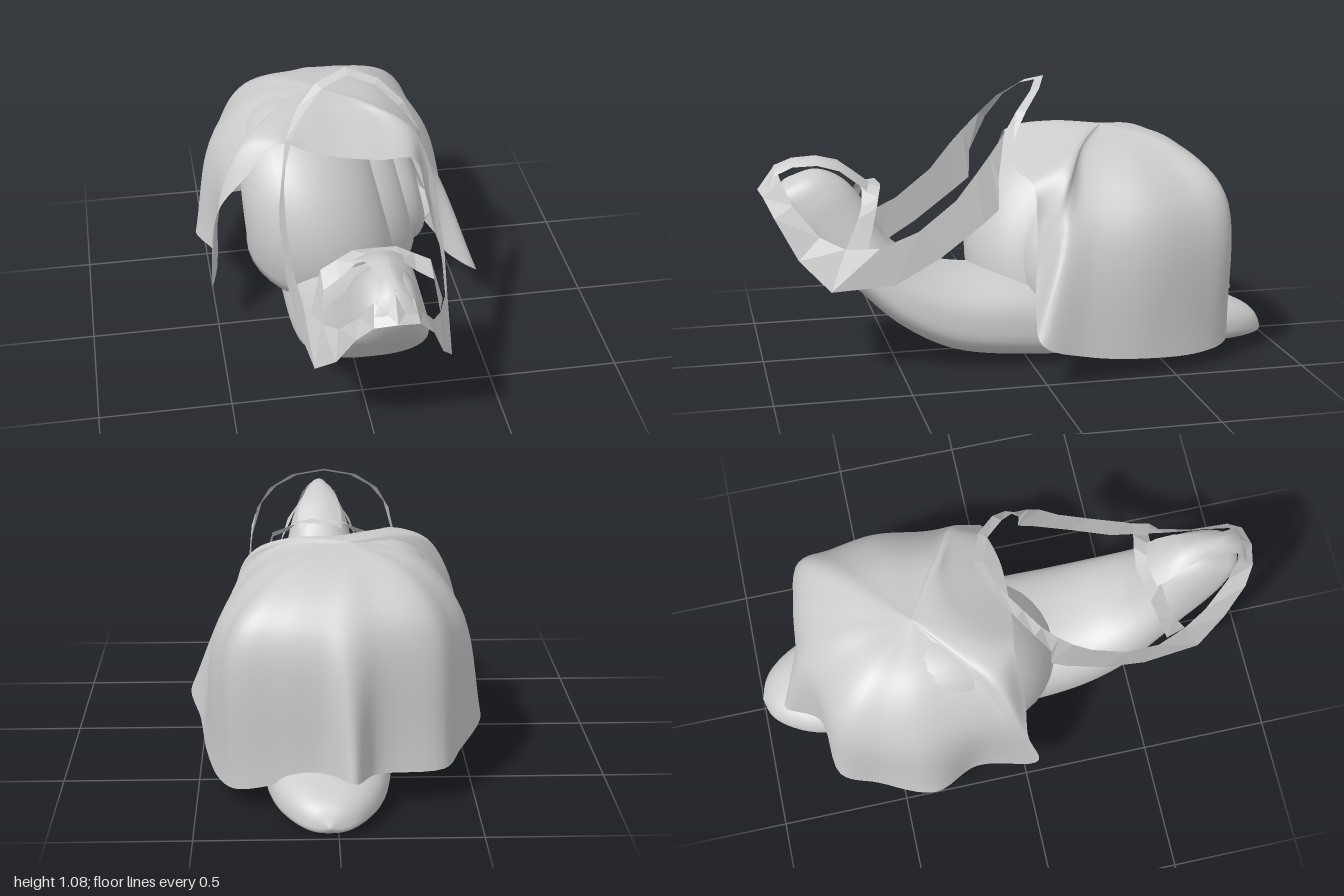
import * as THREE from 'three';

const CX = 0.03; // centre line of body and harness
const V = (x, y, z) => new THREE.Vector3(x, y, z);
const smooth = new THREE.MeshStandardMaterial({ color: 0xcccccc });
const cloth = new THREE.MeshStandardMaterial({ color: 0xcccccc, side: THREE.DoubleSide });
const strap = new THREE.MeshStandardMaterial({ color: 0xcccccc, side: THREE.DoubleSide, flatShading: true });

// Surface through rows of points; wrap closes each row into a ring
function loft(name, rows, wrap, material) {
  const n = rows[0].length;
  const index = [];
  for (let i = 0; i < rows.length - 1; i++) {
    for (let j = 0; j < (wrap ? n : n - 1); j++) {
      const k = (j + 1) % n;
      const a = i * n + j, b = i * n + k, c = a + n, d = b + n;
      index.push(a, b, c, b, d, c);
    }
  }
  const geometry = new THREE.BufferGeometry().setFromPoints(rows.flat());
  geometry.setIndex(index);
  geometry.computeVertexNormals();
  const mesh = new THREE.Mesh(geometry, material);
  mesh.name = name;
  return mesh;
}

// Body: rings between a back line and a sole line
function makeBody() {
  // half width, back z, back y, sole z, sole y
  const stations = [
    [0, -1, 0.04, -1, 0.035], [0.08, -0.96, 0.1, -0.98, 0.012], [0.14, -0.9, 0.135, -0.92, 0.006],
    [0.2, -0.77, 0.18, -0.8, 0.004], [0.25, -0.4, 0.28, -0.4, 0.001], [0.265, 0, 0.34, 0, 0.005],
    [0.255, 0.25, 0.35, 0.3, 0.05], [0.23, 0.4, 0.39, 0.5, 0.16], [0.195, 0.5, 0.46, 0.64, 0.29],
    [0.165, 0.56, 0.54, 0.74, 0.39], [0.14, 0.61, 0.63, 0.84, 0.48], [0.115, 0.68, 0.71, 0.91, 0.58],
    [0.08, 0.77, 0.75, 0.94, 0.66], [0, 0.88, 0.73, 0.9, 0.72],
  ];
  const back = new THREE.CatmullRomCurve3(stations.map((s) => V(s[0], s[2], s[1])));
  const sole = new THREE.CatmullRomCurve3(stations.map((s) => V(s[0], s[4], s[3])));
  const power = (v, e) => Math.sign(v) * Math.abs(v) ** e;
  const rows = [];
  for (let i = 0; i <= 78; i++) {
    const top = back.getPoint(i / 78), bottom = sole.getPoint(i / 78);
    const row = [];
    for (let j = 0; j < 40; j++) {
      const a = (j / 40) * Math.PI * 2;
      const s = power(Math.sin(a), 0.8);
      const p = bottom.clone().lerp(top, 0.36 + s * (s > 0 ? 0.64 : 0.36));
      p.x = CX + Math.max(bottom.x, 0) * power(Math.cos(a), 0.8);
      row.push(p);
    }
    rows.push(row);
  }
  return loft('body', rows, true, smooth);
}

// Shell: a shrinking coil that climbs towards +x and leans towards -x
function makeShell() {
  const rows = [];
  const turns = 3, steps = 150;
  for (let i = 0; i <= steps; i++) {
    const t = (i / steps) * turns;
    const k = 0.68 ** t;
    const a = t * Math.PI * 2 - 0.6;
    const r = i === 0 || i === steps ? 0 : 0.265 * k;
    const row = [];
    for (let j = 0; j < 32; j++) {
      const f = (j / 32) * Math.PI * 2;
      const d = 0.245 * k + r * Math.cos(f);
      const y = 0.4 + d * Math.sin(a);
      row.push(V(-0.12 + 0.6 * (1 - k) + 1.12 * r * Math.sin(f) - 0.3 * (y - 0.45), y, -0.3 + d * Math.cos(a)));
    }
    rows.push(row);
  }
  return loft('shell', rows, true, smooth);
}

// Blanket: meridians from the crown over a shoulder to the hem
function makeBlanket() {
  // shoulder x, y, z, then hem x, y, z, round from the front centre by way of +x
  const folds = [
    [0, 0.825, -0.15, 0, 0.755, 0.03], [0.15, 0.81, -0.15, 0.15, 0.73, 0.03],
    [0.27, 0.785, -0.12, 0.29, 0.7, 0], [0.33, 0.73, -0.12, 0.34, 0.52, 0],
    [0.35, 0.67, -0.12, 0.41, 0.28, 0.02], [0.375, 0.61, -0.14, 0.55, 0.17, 0.03],
    [0.395, 0.58, -0.22, 0.51, 0.1, -0.15], [0.425, 0.58, -0.42, 0.475, 0.065, -0.4],
    [0.39, 0.6, -0.6, 0.42, 0.055, -0.62], [0.35, 0.64, -0.72, 0.35, 0.07, -0.74],
    [0.2, 0.65, -0.755, 0.18, 0.12, -0.8], [0.05, 0.64, -0.77, 0.03, 0.16, -0.83],
    [-0.04, 0.64, -0.775, -0.06, 0.16, -0.91], [-0.14, 0.65, -0.74, -0.14, 0.14, -0.78],
    [-0.34, 0.66, -0.68, -0.38, 0.14, -0.74], [-0.42, 0.62, -0.55, -0.45, 0.15, -0.6],
    [-0.465, 0.62, -0.4, -0.55, 0.2, -0.38], [-0.445, 0.62, -0.2, -0.48, 0.2, -0.2],
    [-0.44, 0.62, -0.08, -0.52, 0.21, 0.03], [-0.43, 0.69, -0.06, -0.485, 0.53, 0],
    [-0.37, 0.79, -0.07, -0.38, 0.68, 0.01], [-0.26, 0.835, -0.06, -0.24, 0.82, 0],
    [-0.12, 0.84, -0.12, -0.12, 0.785, 0.02],
  ];
  const shoulder = new THREE.CatmullRomCurve3(folds.map((f) => V(f[0], f[1], f[2])), true);
  const hem = new THREE.CatmullRomCurve3(folds.map((f) => V(f[3], f[4], f[5])), true);
  const crown = V(-0.06, 0.866, -0.35);
  const columns = [];
  for (let i = 0; i < 138; i++) {
    const s = shoulder.getPoint(i / 138), h = hem.getPoint(i / 138);
    const mid = crown.clone().lerp(s, 0.6);
    mid.y = crown.y - (crown.y - s.y) * 0.25;
    columns.push(new THREE.CatmullRomCurve3([crown, mid, s, h]).getPoints(30));
  }
  const rows = columns[0].map((_, j) => columns.map((c) => c[j]));
  return loft('blanket', rows, true, cloth);
}

// Harness: flat straps, each row giving x, z, y of the upper edge, then z, y, x of the lower
function makeStrap(name, side, rows) {
  const points = rows.map(([x, zt, yt, zb, yb, xb = x]) => [V(CX + side * x, yt, zt), V(CX + side * xb, yb, zb)]);
  return loft(name, points, false, strap);
}

function makeHarness() {
  const harness = new THREE.Group();
  harness.name = 'harness';
  const rein = [
    [0, 0.93, 0.78, 1, 0.685], [0.07, 0.92, 0.73, 0.985, 0.67, 0.08], [0.11, 0.88, 0.64, 0.95, 0.6, 0.135],
    [0.17, 0.79, 0.53, 0.87, 0.45, 0.19], [0.215, 0.7, 0.49, 0.76, 0.34, 0.25], [0.265, 0.58, 0.5, 0.53, 0.36, 0.28],
    [0.285, 0.44, 0.56, 0.36, 0.46, 0.297], [0.285, 0.3, 0.67, 0.2, 0.58, 0.297],
    [0.28, 0.22, 0.77, 0.14, 0.63, 0.29], [0.265, 0.17, 0.83, 0.14, 0.74, 0.28],
    [0.235, 0.11, 0.9, 0.08, 0.88, 0.255], [0.18, 0.05, 0.975, 0.02, 0.975, 0.205],
    [0.1, -0.02, 1.035, -0.05, 1.045, 0.12], [0, -0.06, 1.062, -0.095, 1.077],
  ];
  const poll = [
    [0, 0.54, 0.685, 0.62, 0.7], [0.08, 0.55, 0.69, 0.62, 0.68],
    [0.14, 0.565, 0.665, 0.63, 0.63], [0.2, 0.58, 0.64, 0.65, 0.6],
  ];
  const cheek = [[0.2, 0.58, 0.64, 0.65, 0.6], [0.24, 0.62, 0.49, 0.7, 0.49, 0.215]];
  for (const side of [1, -1]) {
    harness.add(makeStrap('rein', side, rein), makeStrap('pollStrap', side, poll), makeStrap('cheekStrap', side, cheek));
  }
  // Strip over the head, from nose to poll: half width, y, z
  const strip = [
    [0.08, 0.71, 0.965], [0.055, 0.775, 0.935], [0.04, 0.8, 0.87], [0.055, 0.805, 0.78],
    [0.075, 0.785, 0.7], [0.09, 0.74, 0.64], [0.09, 0.685, 0.57],
  ];
  const rows = strip.map(([w, y, z]) => [-1, -0.5, 0, 0.5, 1].map((u) => V(CX + u * w, y - 0.03 * u * u, z)));
  harness.add(loft('headStrap', rows, false, cloth));
  return harness;
}

export function createModel() {
  const model = new THREE.Group();
  model.name = 'saddledSnail';
  model.add(makeBody(), makeShell(), makeBlanket(), makeHarness());
  return model;
}
